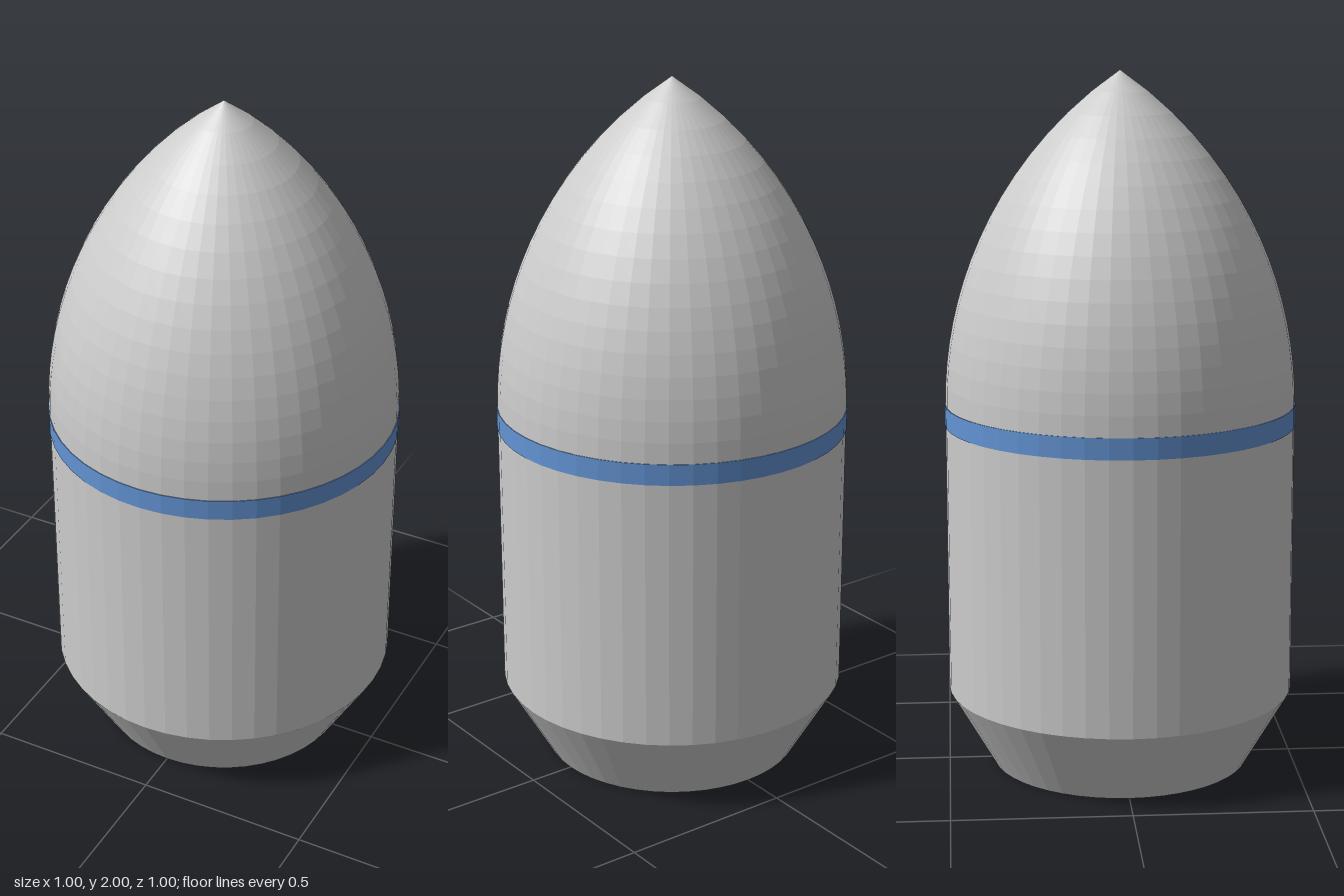
import * as THREE from 'three';

const SIDES = 48;
const BODY_R = 0.498;

export function createModel() {
  const model = new THREE.Group();
  model.name = 'capsule';

  const shell = new THREE.MeshStandardMaterial({ color: 0xcccccc, flatShading: true });
  shell.name = 'light grey shell';
  const blue = new THREE.MeshStandardMaterial({ color: 0x6394d4, flatShading: true });
  blue.name = 'blue band';

  const add = (name, geometry, material, y = 0) => {
    const mesh = new THREE.Mesh(geometry, material);
    mesh.name = name;
    mesh.position.y = y;
    model.add(mesh);
  };

  // Tapered base with a closed underside
  const baseH = 0.22;
  const base = new THREE.CylinderGeometry(BODY_R, 0.37, baseH, SIDES);
  add('taperedBase', base, shell, baseH / 2);

  // Straight barrel, running up behind the band
  const barrelTop = 1.06;
  const barrelH = barrelTop - baseH;
  const barrel = new THREE.CylinderGeometry(BODY_R, BODY_R, barrelH, SIDES);
  add('barrel', barrel, shell, baseH + barrelH / 2);

  // Slightly raised coloured band
  add('band', new THREE.CylinderGeometry(0.5, 0.5, 0.06, SIDES), blue, 1.03);

  // Pointed nose: a circular arc tangent to the barrel
  const noseH = 2 - barrelTop;
  const arcR = (BODY_R ** 2 + noseH ** 2) / (2 * BODY_R);
  const steps = 16;
  const profile = [];
  for (let i = 0; i <= steps; i++) {
    const y = (noseH * i) / steps;
    const r = Math.sqrt(arcR ** 2 - y ** 2) - (arcR - BODY_R);
    profile.push(new THREE.Vector2(i === steps ? 0 : r, y));
  }
  add('nose', new THREE.LatheGeometry(profile, SIDES), shell, barrelTop);

  return model;
}
